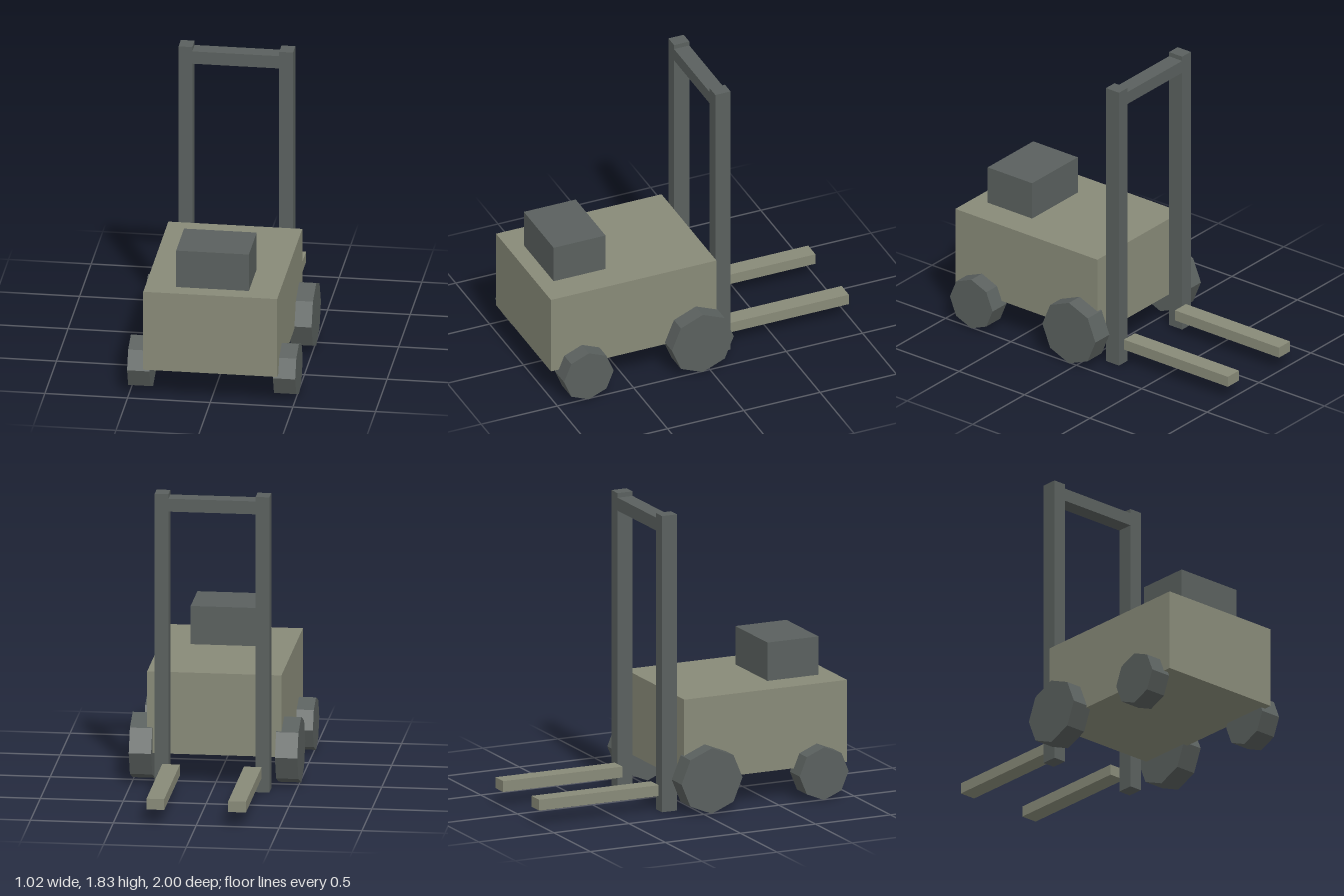
import * as THREE from 'three';

export function createModel() {
  const model = new THREE.Group();
  model.name = 'forklift';

  const paint = new THREE.MeshStandardMaterial({ color: 0x888a78, flatShading: true });
  paint.name = 'olive grey paint';
  const steel = new THREE.MeshStandardMaterial({ color: 0x5a605e, flatShading: true });
  steel.name = 'dark slate';

  // Box given by its lower and upper limits on each axis
  function box(name, material, [x0, x1], [y0, y1], [z0, z1]) {
    const mesh = new THREE.Mesh(new THREE.BoxGeometry(x1 - x0, y1 - y0, z1 - z0), material);
    mesh.position.set((x0 + x1) / 2, (y0 + y1) / 2, (z0 + z1) / 2);
    mesh.name = name;
    model.add(mesh);
  }

  // Eight-sided wheel with its axle along x, resting on the ground
  function wheel(name, radius, x, z) {
    const geometry = new THREE.CylinderGeometry(radius, radius, 0.135, 8).rotateZ(Math.PI / 2);
    const mesh = new THREE.Mesh(geometry, steel);
    mesh.position.set(x, radius, z);
    mesh.name = name;
    model.add(mesh);
  }

  // Chassis and the block on top
  box('body', paint, [-0.405, 0.405], [0.19, 0.697], [-0.085, 1]);
  box('seatBlock', steel, [-0.22, 0.22], [0.697, 0.934], [0.56, 0.9]);

  // Mast posts, forks and wheels, mirrored left and right
  for (const [side, s] of [['left', 1], ['right', -1]]) {
    const span = (a, b) => (s > 0 ? [a, b] : [-b, -a]);
    box(`${side}MastPost`, steel, span(0.263, 0.346), [0, 1.833], [-0.204, -0.104]);
    box(`${side}Fork`, paint, span(0.193, 0.3), [0.09, 0.157], [-1, -0.204]);
    wheel(`${side}MastWheel`, 0.203, s * 0.441, 0.05);
    wheel(`${side}FrontWheel`, 0.163, s * 0.441, 0.797);
  }

  // Bar joining the posts
  box('mastCrossbar', steel, [-0.263, 0.263], [1.725, 1.805], [-0.204, -0.104]);

  return model;
}
